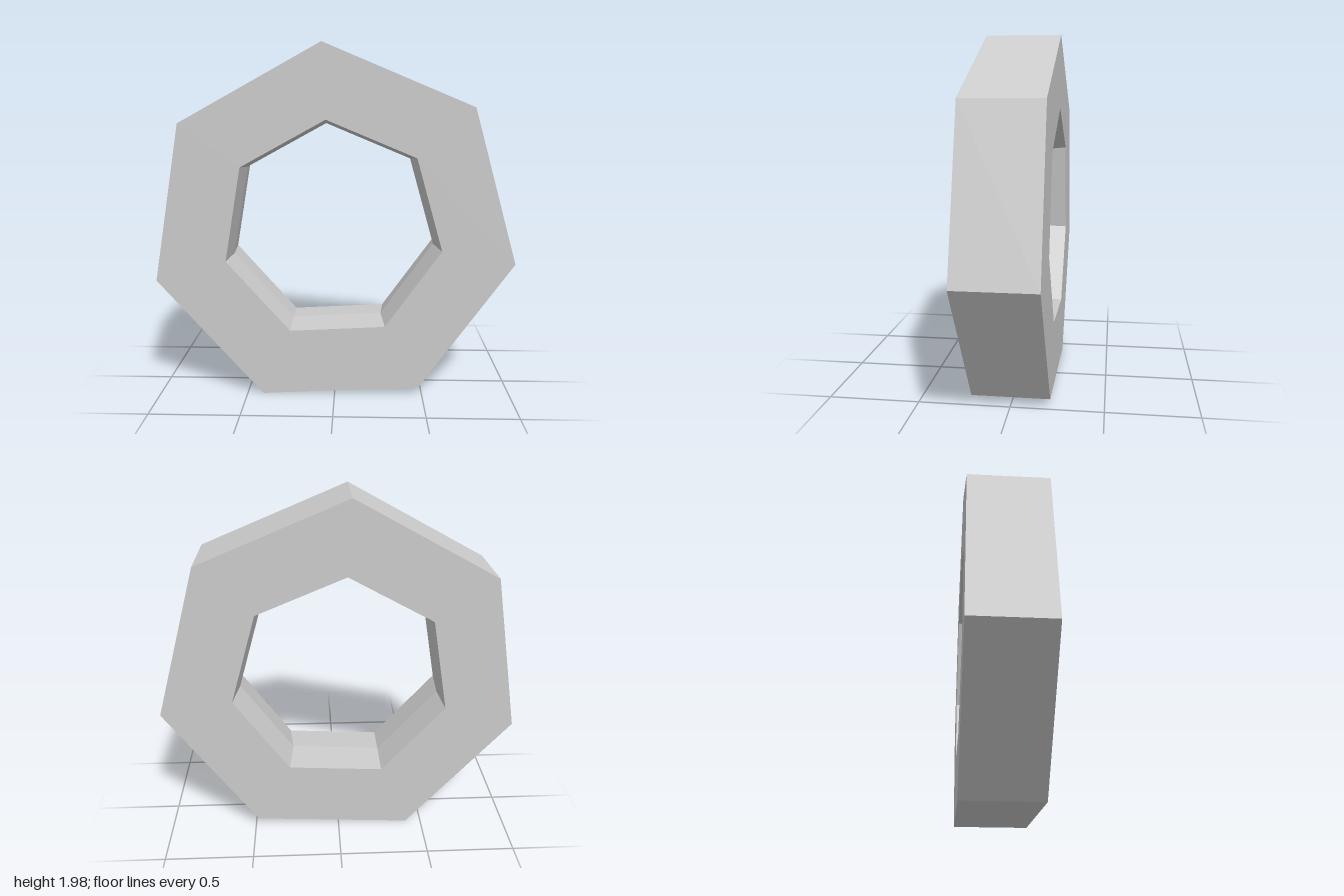
import * as THREE from 'three';

const SIDES = 7;
const TURN = THREE.MathUtils.degToRad(93.1);

// Corners of one heptagonal ring in the plane z
function ring(cx, cy, radius, z) {
  return Array.from({ length: SIDES }, (_, i) => {
    const a = TURN + (i * 2 * Math.PI) / SIDES;
    return new THREE.Vector3(cx + radius * Math.cos(a), cy + radius * Math.sin(a), z);
  });
}

// Joins consecutive rings with quads
function loft(rings) {
  const pos = [];
  for (let r = 0; r < rings.length - 1; r++) {
    for (let i = 0; i < SIDES; i++) {
      const j = (i + 1) % SIDES;
      const a = rings[r][i], b = rings[r][j];
      const c = rings[r + 1][i], d = rings[r + 1][j];
      for (const p of [a, c, b, b, c, d]) pos.push(p.x, p.y, p.z);
    }
  }
  const geometry = new THREE.BufferGeometry();
  geometry.setAttribute('position', new THREE.Float32BufferAttribute(pos, 3));
  geometry.computeVertexNormals();
  return geometry;
}

export function createModel() {
  const group = new THREE.Group();
  group.name = 'heptagonalNut';

  const cx = -0.014, cy = 0.952, half = 0.213;
  const outer = 1.028, inner = 0.618;
  const material = new THREE.MeshStandardMaterial({ color: 0xcccccc, flatShading: true });

  // Outer wall, back face, bore with a slightly narrower waist, front face
  const body = new THREE.Mesh(loft([
    ring(cx, cy, outer, half),
    ring(cx, cy, outer, -half),
    ring(cx, cy, inner, -half),
    ring(cx - 0.007, cy - 0.006, 0.595, 0),
    ring(cx, cy, inner, half),
    ring(cx, cy, outer, half),
  ]), material);
  body.name = 'nutBody';
  group.add(body);
  return group;
}
